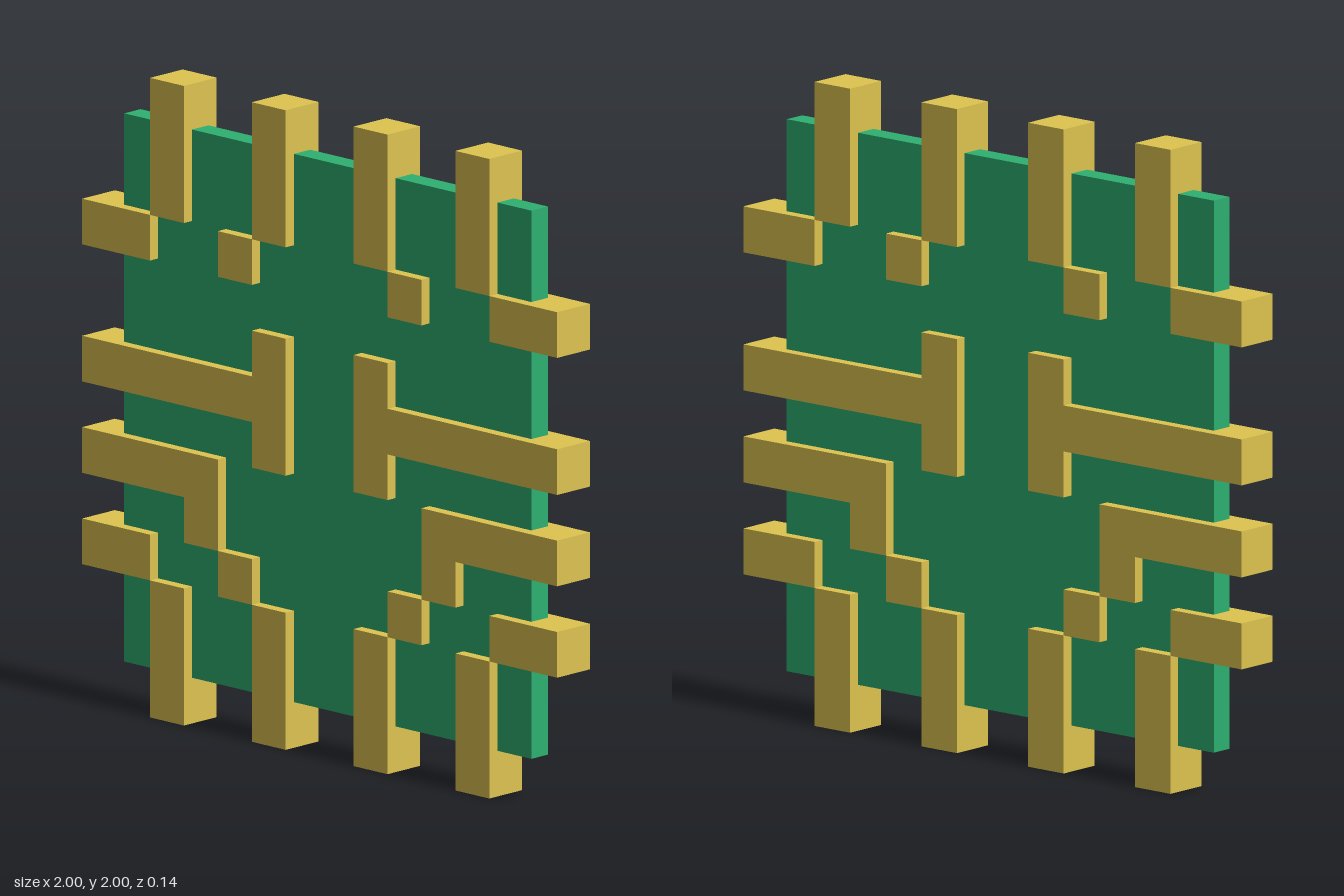
import * as THREE from 'three';

const U = 1 / 7; // grid cell: the model is 14 cells wide and high

const gold = new THREE.MeshStandardMaterial({ color: 0xdec450 });
const green = new THREE.MeshStandardMaterial({ color: 0x2db071 });

// Flat plate from an outline in grid cells, centred on z = 0
function plate(name, outline, depth, material) {
  const shape = new THREE.Shape(outline.map(([x, y]) => new THREE.Vector2(x * U, y * U)));
  const geometry = new THREE.ExtrudeGeometry(shape, { depth, bevelEnabled: false });
  geometry.translate(0, 0, -depth / 2);
  const mesh = new THREE.Mesh(geometry, material);
  mesh.name = name;
  return mesh;
}

const rect = (x0, x1, y0, y1) => [[x0, y0], [x1, y0], [x1, y1], [x0, y1]];

export function createModel() {
  const model = new THREE.Group();
  model.name = 'circuitChip';

  // Green board
  model.add(plate('board', rect(-6, 6, 1, 13), U / 2, green));

  // Gold traces of the left half, mirrored to the right
  const traces = {
    innerTopPin: rect(1, 2, 11, 14),
    outerTopPin: rect(4, 5, 11, 14),
    innerBottomPin: rect(1, 2, 0, 3),
    outerBottomPin: rect(4, 5, 0, 3),
    upperSidePin: rect(5, 7, 10, 11),
    lowerSidePin: rect(5, 7, 3, 4),
    upperPad: rect(2, 3, 10, 11),
    lowerPad: rect(2, 3, 3, 4),
    teeTrace: [[1, 6], [2, 6], [2, 7], [7, 7], [7, 8], [2, 8], [2, 9], [1, 9]],
    hookTrace: [[3, 4], [4, 4], [4, 5], [7, 5], [7, 6], [3, 6]],
  };
  for (const [side, s] of [['left', 1], ['right', -1]]) {
    const half = new THREE.Group();
    half.name = side + 'Traces';
    for (const [name, outline] of Object.entries(traces)) {
      half.add(plate(name, outline.map(([x, y]) => [x * s, y]), U, gold));
    }
    model.add(half);
  }
  return model;
}
